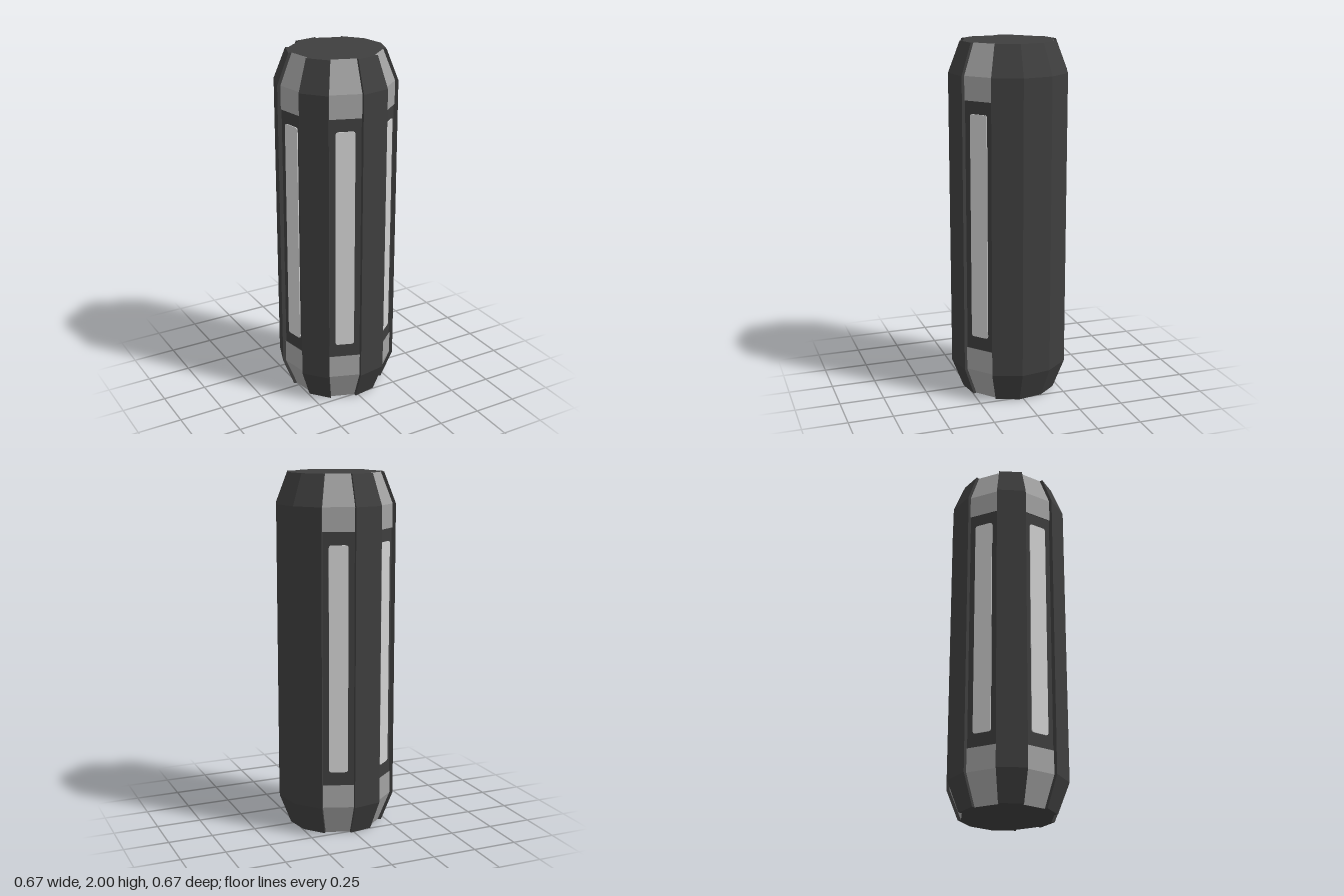
import * as THREE from 'three';

const mat = (name, color) => {
  const m = new THREE.MeshStandardMaterial({ color });
  m.name = name;
  return m;
};

// Point on the body outline: angle in degrees from +x towards +z
const polar = (deg, r, y) => {
  const a = THREE.MathUtils.degToRad(deg);
  return [Math.cos(a) * r, y, Math.sin(a) * r];
};

// Faceted wedge running to the axis; profile holds [y, radius] pairs.
// Group 0 is the sides, group 1 the two ends.
function wedge(angles, profile) {
  const rings = profile.map(([y, r]) => [[0, y, 0], ...angles.map((a) => polar(a, r, y))]);
  const n = angles.length + 1;
  const pos = [];
  const tri = (a, b, c) => pos.push(...a, ...b, ...c);
  for (let k = 0; k < rings.length - 1; k++) {
    const lo = rings[k], hi = rings[k + 1];
    for (let i = 0; i < n; i++) {
      const j = (i + 1) % n;
      tri(lo[i], hi[i], hi[j]);
      tri(lo[i], hi[j], lo[j]);
    }
  }
  const sideCount = pos.length / 3;
  const bottom = rings[0], top = rings[rings.length - 1];
  for (let i = 1; i < n - 1; i++) {
    tri(bottom[0], bottom[i], bottom[i + 1]);
    tri(top[0], top[i + 1], top[i]);
  }
  const g = new THREE.BufferGeometry();
  g.setAttribute('position', new THREE.Float32BufferAttribute(pos, 3));
  g.computeVertexNormals();
  g.addGroup(0, sideCount, 0);
  g.addGroup(sideCount, pos.length / 3 - sideCount, 1);
  return g;
}

// Thin plate with rounded corners, facing +z
function panelGeometry(w, h, r, depth) {
  const x = w / 2, y = h / 2;
  const s = new THREE.Shape();
  s.moveTo(-x + r, -y);
  s.lineTo(x - r, -y);
  s.quadraticCurveTo(x, -y, x, -y + r);
  s.lineTo(x, y - r);
  s.quadraticCurveTo(x, y, x - r, y);
  s.lineTo(-x + r, y);
  s.quadraticCurveTo(-x, y, -x, y - r);
  s.lineTo(-x, -y + r);
  s.quadraticCurveTo(-x, -y, -x + r, -y);
  return new THREE.ExtrudeGeometry(s, { depth, bevelEnabled: false, curveSegments: 4 });
}

export function createModel() {
  const model = new THREE.Group();
  model.name = 'ribbedCapsule';
  const dark = mat('darkCasing', 0x3e3e3e);
  const grey = mat('greyMetal', 0xa2a2a2);
  const light = mat('lightPanel', 0xd0d0d0);

  const add = (name, geometry, material) => {
    const m = new THREE.Mesh(geometry, material);
    m.name = name;
    model.add(m);
    return m;
  };

  // Raised dark ribs and the wide three-sided back plate
  const ribProfile = [[0, 0.27], [0.17, 0.336], [1.83, 0.336], [2, 0.27]];
  for (const c of [80, 140, 200, 260]) {
    add('rib', wedge([c - 14.2, c + 14.2], ribProfile), dark);
  }
  add('wideRib', wedge([-54.2, -25, 5, 34.2], ribProfile), dark);

  // Grooves: grey end blocks, dark bed and a light inset panel
  const half = 15.8;
  const toCorner = 1 / Math.cos(THREE.MathUtils.degToRad(half));
  const flat = (pairs) => pairs.map(([y, apothem]) => [y, apothem * toCorner]);
  const panel = panelGeometry(0.105, 1.255, 0.016, 0.008);
  for (const c of [50, 110, 170, 230, 290]) {
    const span = [c - half, c + half];
    add('lowerBlock', wedge(span, flat([[0, 0.242], [0.17, 0.306], [0.3, 0.306]])), [grey, dark]);
    add('grooveBed', wedge(span, flat([[0.3, 0.302], [1.7, 0.302]])), dark);
    add('upperBlock', wedge(span, flat([[1.7, 0.306], [1.83, 0.306], [2, 0.242]])), [grey, dark]);
    const p = add('insetPanel', panel, light);
    p.position.set(...polar(c, 0.299, 1.003));
    p.rotation.y = THREE.MathUtils.degToRad(90 - c);
  }
  return model;
}
